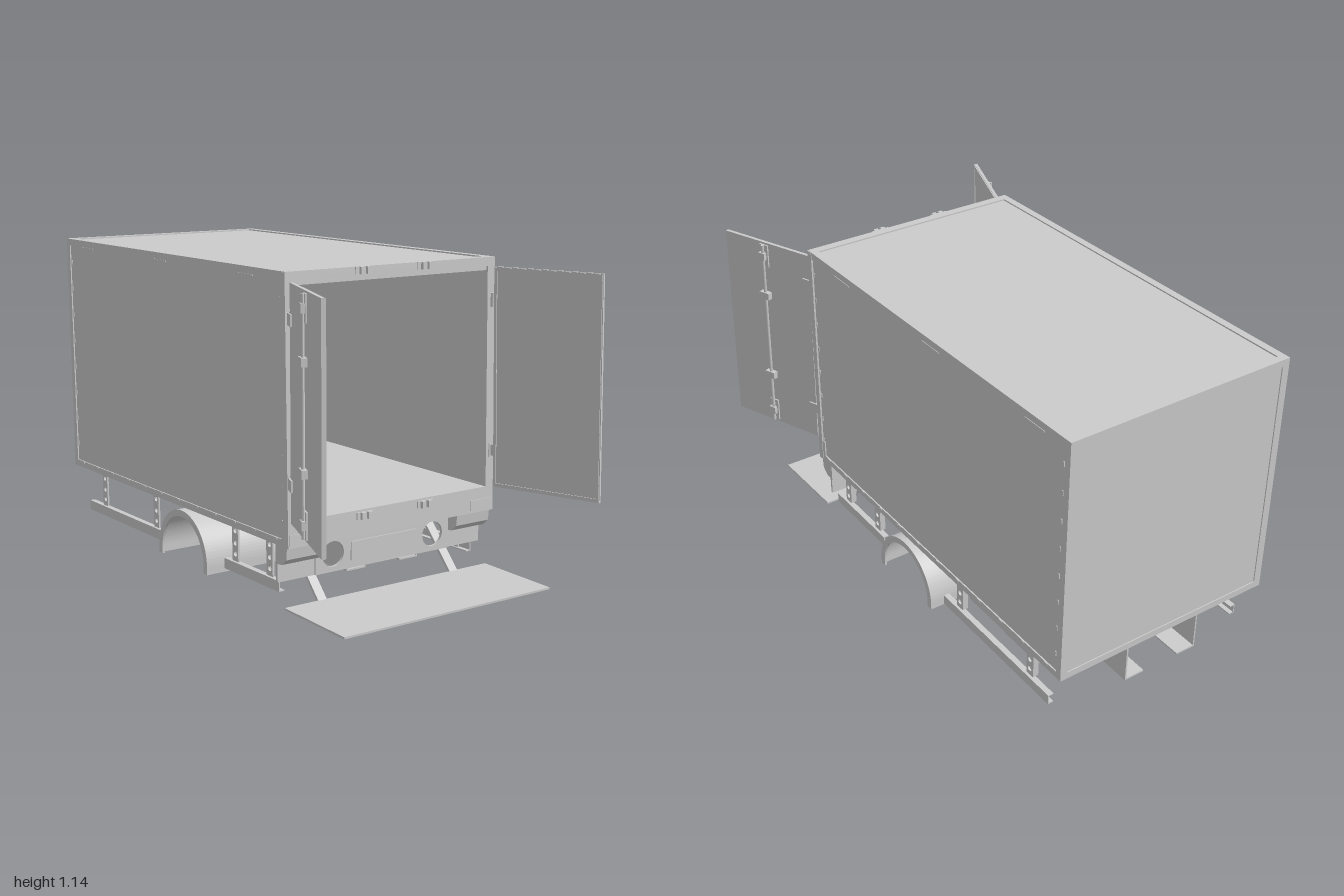
import * as THREE from 'three';

const mat = new THREE.MeshStandardMaterial({ color: 0xcccccc, side: THREE.DoubleSide });

// The body sits slightly nose-down: lean in z, and a slope that fades towards the roof
function warp(geo) {
  const p = geo.attributes.position;
  for (let i = 0; i < p.count; i++) {
    const y = p.getY(i), z = p.getZ(i);
    const k = 0.019 - 0.0145 * (y - 0.215) / 0.92;
    p.setY(i, y + k * (z + 0.2));
    p.setZ(i, z - 0.022 * (y - 0.68));
  }
  geo.computeVertexNormals();
  return geo;
}

function add(parent, name, geo) {
  const m = new THREE.Mesh(geo, mat);
  m.name = name;
  parent.add(m);
  return m;
}

// Box given by its limits on each axis
function span(x0, x1, y0, y1, z0, z1) {
  return new THREE.BoxGeometry(Math.abs(x1 - x0), y1 - y0, z1 - z0)
    .translate((x0 + x1) / 2, (y0 + y1) / 2, (z0 + z1) / 2);
}
const bodyBox = (parent, name, ...limits) => add(parent, name, warp(span(...limits)));

// Extrude a shape drawn in (-z, y) along x from x0 to x1
function extrudeX(shape, x0, x1) {
  return new THREE.ExtrudeGeometry(shape, { depth: Math.abs(x1 - x0), bevelEnabled: false, curveSegments: 24 })
    .rotateY(Math.PI / 2).translate(Math.min(x0, x1), 0, 0);
}

// Half-ring with short straight legs
function archShape(outer, inner, cy, foot) {
  const s = new THREE.Shape();
  s.moveTo(outer, foot);
  s.lineTo(outer, cy);
  s.absarc(0, cy, outer, 0, Math.PI, false);
  s.lineTo(-outer, foot);
  s.lineTo(-inner, foot);
  s.lineTo(-inner, cy);
  s.absarc(0, cy, inner, Math.PI, 0, true);
  s.lineTo(inner, foot);
  return s;
}

function cargoBox() {
  const g = new THREE.Group();
  g.name = 'cargoBox';
  bodyBox(g, 'floor', -0.43, 0.43, 0.25, 0.305, -0.98, 0.585);
  bodyBox(g, 'roof', -0.435, 0.435, 1.09, 1.132, -0.985, 0.585);
  bodyBox(g, 'frontWall', -0.435, 0.435, 0.22, 1.13, -0.986, -0.95);
  // Raised frame strips around roof and front wall
  for (const z of [[-0.99, -0.962], [0.565, 0.593]]) bodyBox(g, 'roofTrim', -0.442, 0.442, 1.11, 1.137, ...z);
  bodyBox(g, 'frontSill', -0.442, 0.442, 0.215, 0.24, -0.99, -0.962);
  // Rear frame
  bodyBox(g, 'rearHeader', -0.442, 0.442, 1.105, 1.137, 0.56, 0.593);
  bodyBox(g, 'rearSill', -0.442, 0.442, 0.215, 0.305, 0.55, 0.593);
  for (const s of [-1, 1]) {
    bodyBox(g, 'sideWall', s * 0.41, s * 0.437, 0.22, 1.13, -0.985, 0.588);
    bodyBox(g, 'rearPost', s * 0.41, s * 0.444, 0.215, 1.135, 0.567, 0.593);
    bodyBox(g, 'frontPost', s * 0.414, s * 0.442, 0.215, 1.135, -0.99, -0.965);
    bodyBox(g, 'upperRail', s * 0.414, s * 0.442, 1.11, 1.137, -0.99, 0.593);
    bodyBox(g, 'lowerRail', s * 0.414, s * 0.442, 0.215, 0.24, -0.99, 0.593);
    // Fasteners along the edges, and roof marker strips
    for (let i = 0; i < 12; i++) {
      const z = -0.92 + i * 0.13;
      bodyBox(g, 'fastener', s * 0.44, s * 0.445, 0.234, 0.241, z, z + 0.016);
    }
    for (let i = 0; i < 8; i++) {
      const y = 0.3 + i * 0.105;
      for (const z of [-0.958, 0.556]) bodyBox(g, 'fastener', s * 0.435, s * 0.44, y, y + 0.018, z, z + 0.006);
    }
    for (const z of [-0.81, -0.23, 0.35])
      bodyBox(g, 'markerStrip', s * 0.44, s * 0.444, 1.106, 1.112, z - 0.05, z + 0.05);
    // Lock keepers on header and sill
    for (const y of [1.112, 0.272]) {
      bodyBox(g, 'lockKeeper', s * 0.13 - 0.035, s * 0.13 + 0.035, y, y + 0.025, 0.593, 0.598);
      for (const d of [-0.022, 0.005])
        bodyBox(g, 'lockKeeper', s * 0.13 + d, s * 0.13 + d + 0.017, y, y + 0.025, 0.598, 0.61);
    }
    bodyBox(g, 'rearPad', s * 0.34, s * 0.44, 0.225, 0.262, 0.593, 0.596);
  }
  return g;
}

function door(s) {
  const g = new THREE.Group();
  g.name = s > 0 ? 'leftDoor' : 'rightDoor';
  const lean = geo => {
    const p = geo.attributes.position;
    for (let i = 0; i < p.count; i++) p.setZ(i, p.getZ(i) - 0.022 * (p.getY(i) - 0.715));
    geo.computeVertexNormals();
    return geo;
  };
  const part = (name, ...l) => add(g, name, lean(span(...l)));
  part('doorPanel', -0.006, 0.006, 0.32, 1.108, 0.02, 0.427);
  // Gasket edge on the inner face
  for (const y of [0.322, 1.094]) part('doorSeal', -s * 0.006, -s * 0.01, y, y + 0.012, 0.025, 0.424);
  for (const z of [0.022, 0.414]) part('doorSeal', -s * 0.006, -s * 0.01, 0.322, 1.106, z, z + 0.01);
  // Locking bar with its guides and cams
  add(g, 'lockBar', lean(new THREE.CylinderGeometry(0.006, 0.006, 0.77, 10).translate(s * 0.016, 0.715, 0.235)));
  for (const y of [0.54, 0.89]) part('barGuide', s * 0.006, s * 0.026, y - 0.014, y + 0.014, 0.213, 0.257);
  for (const y of [0.375, 1.055]) {
    part('barCam', s * 0.006, s * 0.012, y - 0.045, y + 0.045, 0.215, 0.255);
    part('barCam', s * 0.006, s * 0.025, y - 0.015, y + 0.015, 0.222, 0.25);
  }
  // Hinges
  for (const y of [0.45, 0.99]) {
    part('hinge', s * 0.002, s * 0.012, y - 0.02, y + 0.02, -0.005, 0.05);
    add(g, 'hingePin', new THREE.CylinderGeometry(0.007, 0.007, 0.05, 10).translate(0, y, 0.005));
  }
  g.position.set(s * 0.425, 0, 0.59);
  g.rotation.y = s * 0.366;
  return g;
}

function chassis() {
  const g = new THREE.Group();
  g.name = 'chassis';
  for (const s of [-1, 1]) {
    // Inward-facing channel rail
    bodyBox(g, 'railWeb', s * 0.15, s * 0.156, 0.07, 0.25, -0.985, 0.52);
    for (const y of [0.07, 0.244]) bodyBox(g, 'railFlange', s * 0.075, s * 0.156, y, y + 0.006, -0.985, 0.52);
    // Axle gusset, stub axle and hub
    const tri = new THREE.Shape([[0.155, 0.005], [0.155, 0.075], [0.075, 0.075], [0.125, 0.005]]
      .map(([x, y]) => new THREE.Vector2(s * x, y)));
    add(g, 'axleGusset', new THREE.ExtrudeGeometry(tri, { depth: 0.05, bevelEnabled: false }).translate(0, 0, -0.085));
    for (const [r, x0, x1] of [[0.014, 0.08, 0.25], [0.022, 0.17, 0.19]])
      add(g, 'stubAxle', new THREE.CylinderGeometry(r, r, x1 - x0, 20).rotateZ(Math.PI / 2)
        .translate(s * (x0 + x1) / 2, 0.045, -0.06));
    // Mudguard: curved cover, outer lip, inner round plate
    add(g, 'mudguard', extrudeX(archShape(0.174, 0.166, 0.04, 0.015), s * 0.17, s * 0.464).translate(0, 0, -0.06));
    add(g, 'mudguardLip', extrudeX(archShape(0.174, 0.15, 0.04, 0.015), s * 0.455, s * 0.464).translate(0, 0, -0.06));
    const plate = new THREE.Shape();
    plate.absellipse(0, 0.1, 0.135, 0.1, 0, Math.PI * 2, false, 0);
    add(g, 'innerPlate', extrudeX(plate, s * 0.168, s * 0.174).translate(0, 0, -0.06));

    // Side guard channels
    for (const [z0, z1] of [[0.15, 0.5], [-0.905, -0.27]]) {
      bodyBox(g, 'sideGuard', s * 0.418, s * 0.422, 0.04, 0.078, z0, z1);
      for (const y of [0.04, 0.074]) bodyBox(g, 'sideGuard', s * 0.4, s * 0.422, y, y + 0.004, z0, z1);
    }
    // Drilled hangers
    for (const z of [0.43, 0.21, -0.36, -0.785]) {
      const h = new THREE.Shape([[-0.018, 0.045], [0.018, 0.045], [0.018, 0.25], [-0.018, 0.25]]
        .map(a => new THREE.Vector2(...a)));
      for (const y of [0.105, 0.145, 0.19]) h.holes.push(new THREE.Path().absarc(0, y, 0.01, 0, Math.PI * 2, true));
      add(g, 'guardHanger', warp(extrudeX(h, s * 0.405, s * 0.412).translate(0, 0, z)));
      bodyBox(g, 'guardHanger', s * 0.39, s * 0.412, 0.08, 0.25, z - 0.02, z - 0.016);
    }
  }
  // Open tray on the left side
  for (const z of [-0.8, -0.6, -0.4]) bodyBox(g, 'trayWall', 0.156, 0.39, 0.13, 0.2, z, z + 0.008);
  for (const x of [0.17, 0.384]) bodyBox(g, 'trayWall', x, x + 0.006, 0.13, 0.2, -0.8, -0.4);
  bodyBox(g, 'trayFloor', 0.17, 0.39, 0.126, 0.132, -0.8, -0.6);
  for (const z of [-0.3, 0.25]) bodyBox(g, 'crossMember', -0.15, 0.15, 0.17, 0.24, z, z + 0.03);
  return g;
}

function rearPanel() {
  const g = new THREE.Group();
  g.name = 'rearPanel';
  // Centre plate with two round openings
  const s = new THREE.Shape([[-0.29, 0.097], [0.29, 0.097], [0.29, 0.235], [-0.29, 0.235]]
    .map(a => new THREE.Vector2(...a)));
  for (const x of [-0.217, 0.217]) s.holes.push(new THREE.Path().absarc(x, 0.16, 0.045, 0, Math.PI * 2, true));
  add(g, 'centrePlate', new THREE.ExtrudeGeometry(s, { depth: 0.01, bevelEnabled: false, curveSegments: 20 })
    .translate(0, 0, 0.53));
  add(g, 'plateHolder', span(-0.143, 0.143, 0.125, 0.192, 0.54, 0.545));
  for (const d of [-1, 1]) {
    // Lamp housing with sloped underside
    const p = new THREE.Shape([[-0.52, 0.235], [-0.52, 0.16], [-0.56, 0.165], [-0.585, 0.187], [-0.59, 0.235]]
      .map(a => new THREE.Vector2(...a)));
    add(g, 'lampHousing', extrudeX(p, d * 0.29, d * 0.44));
    add(g, 'lampBracket', span(d * 0.29, d * 0.44, 0.097, 0.165, 0.524, 0.534));
  }
  return g;
}

function loadingStep() {
  const g = new THREE.Group();
  g.name = 'loadingStep';
  add(g, 'stepPlate', span(-0.44, 0.44, 0.013, 0.02, 0.575, 0.912));
  // Sloping arms up to the chassis
  for (const s of [-1, 1]) {
    const arm = new THREE.Shape([[-0.585, 0.013], [-0.57, 0.013], [-0.375, 0.215], [-0.39, 0.215]]
      .map(a => new THREE.Vector2(...a)));
    add(g, 'stepArm', extrudeX(arm, s * 0.27, s * 0.305));
  }
  return g;
}

export function createModel() {
  const model = new THREE.Group();
  model.name = 'truckCargoBody';
  model.add(cargoBox(), door(1), door(-1), chassis(), rearPanel(), loadingStep());
  return model;
}
